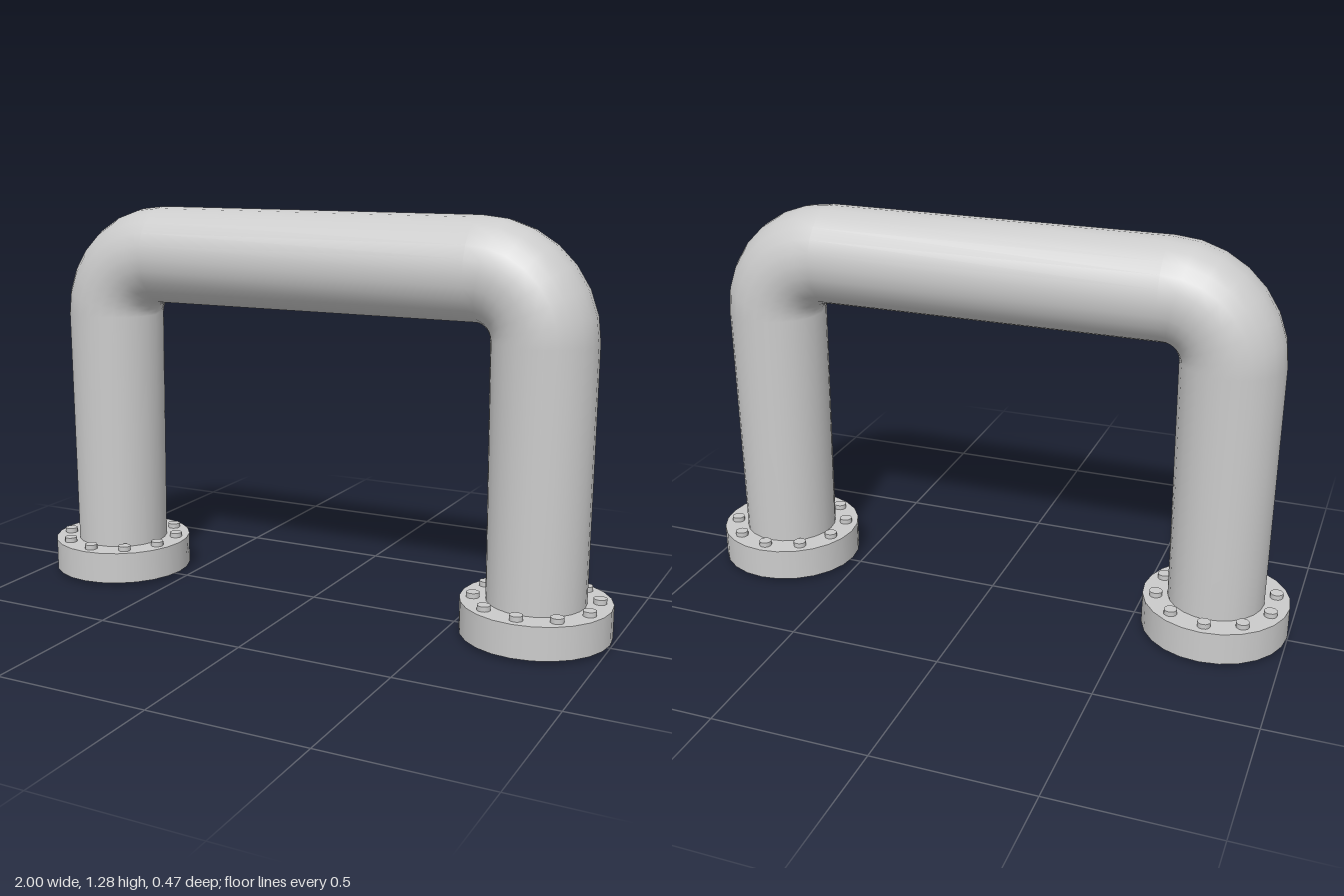
import * as THREE from 'three';

const LEG_X = 0.765, TOP_Y = 1.12, BEND = 0.205, BEND_STEPS = 7, SIDES = 24;

// Hoop-shaped tube: each ring has a centre, a turn angle and a radius.
function hoopTube(bottomY, bottomRadius, radius, inward) {
  const rings = [[LEG_X, bottomY, 0, bottomRadius]];
  for (const side of [1, -1]) {
    const start = side > 0 ? 0 : Math.PI / 2;
    for (let i = 0; i <= BEND_STEPS; i++) {
      const a = start + (i / BEND_STEPS) * Math.PI / 2;
      rings.push([
        side * (LEG_X - BEND) + BEND * Math.cos(a),
        TOP_Y - BEND + BEND * Math.sin(a), a, radius
      ]);
    }
  }
  rings.push([-LEG_X, bottomY, Math.PI, bottomRadius]);

  const positions = [], index = [];
  rings.forEach(([x, y, a, r], i) => {
    for (let j = 0; j < SIDES; j++) {
      const t = (j / SIDES) * Math.PI * 2;
      const out = r * Math.cos(t);
      positions.push(x + out * Math.cos(a), y + out * Math.sin(a), r * Math.sin(t));
      if (i === 0) continue;
      const k = (j + 1) % SIDES;
      const p = (i - 1) * SIDES + j, q = (i - 1) * SIDES + k;
      const s = i * SIDES + j, u = i * SIDES + k;
      if (inward) index.push(p, q, s, q, u, s);
      else index.push(p, s, q, q, s, u);
    }
  });
  const geometry = new THREE.BufferGeometry();
  geometry.setAttribute('position', new THREE.Float32BufferAttribute(positions, 3));
  geometry.setIndex(index);
  geometry.computeVertexNormals();
  return geometry;
}

// Lathe with hard edges: every profile segment becomes its own band.
function latheBands(group, name, profile, material) {
  for (let i = 0; i < profile.length - 1; i++) {
    const points = [profile[i], profile[i + 1]].map(([r, y]) => new THREE.Vector2(r, y));
    const band = new THREE.Mesh(new THREE.LatheGeometry(points, SIDES), material);
    band.name = name;
    group.add(band);
  }
}

export function createModel() {
  const model = new THREE.Group();
  model.name = 'pipeHoop';
  const grey = new THREE.MeshStandardMaterial({ color: 0xcccccc, side: THREE.DoubleSide });

  const add = (parent, name, geometry) => {
    const mesh = new THREE.Mesh(geometry, grey);
    mesh.name = name;
    parent.add(mesh);
    return mesh;
  };

  // Pipe with a slight taper down the legs, and its bore
  add(model, 'pipe', hoopTube(0.05, 0.154, 0.161, false));
  add(model, 'pipeBore', hoopTube(0.045, 0.085, 0.085, true));

  const boltGeometry = new THREE.CylinderGeometry(0.021, 0.021, 0.03, 12);
  for (const side of [1, -1]) {
    const flange = new THREE.Group();
    flange.name = side > 0 ? 'leftFlange' : 'rightFlange';
    flange.position.x = side * LEG_X;
    model.add(flange);

    // Flange ring: stepped opening, underside, rim and top face
    latheBands(flange, 'flangeRing', [
      [0.085, 0.045], [0.124, 0.045], [0.124, 0],
      [0.235, 0.01], [0.235, 0.115], [0.15, 0.115]
    ], grey);

    // Ring of ten bolts
    for (let i = 0; i < 10; i++) {
      const a = ((i + 0.5) / 10) * Math.PI * 2;
      add(flange, 'bolt', boltGeometry).position.set(
        0.193 * Math.cos(a), 0.116, 0.193 * Math.sin(a));
    }
  }
  return model;
}
